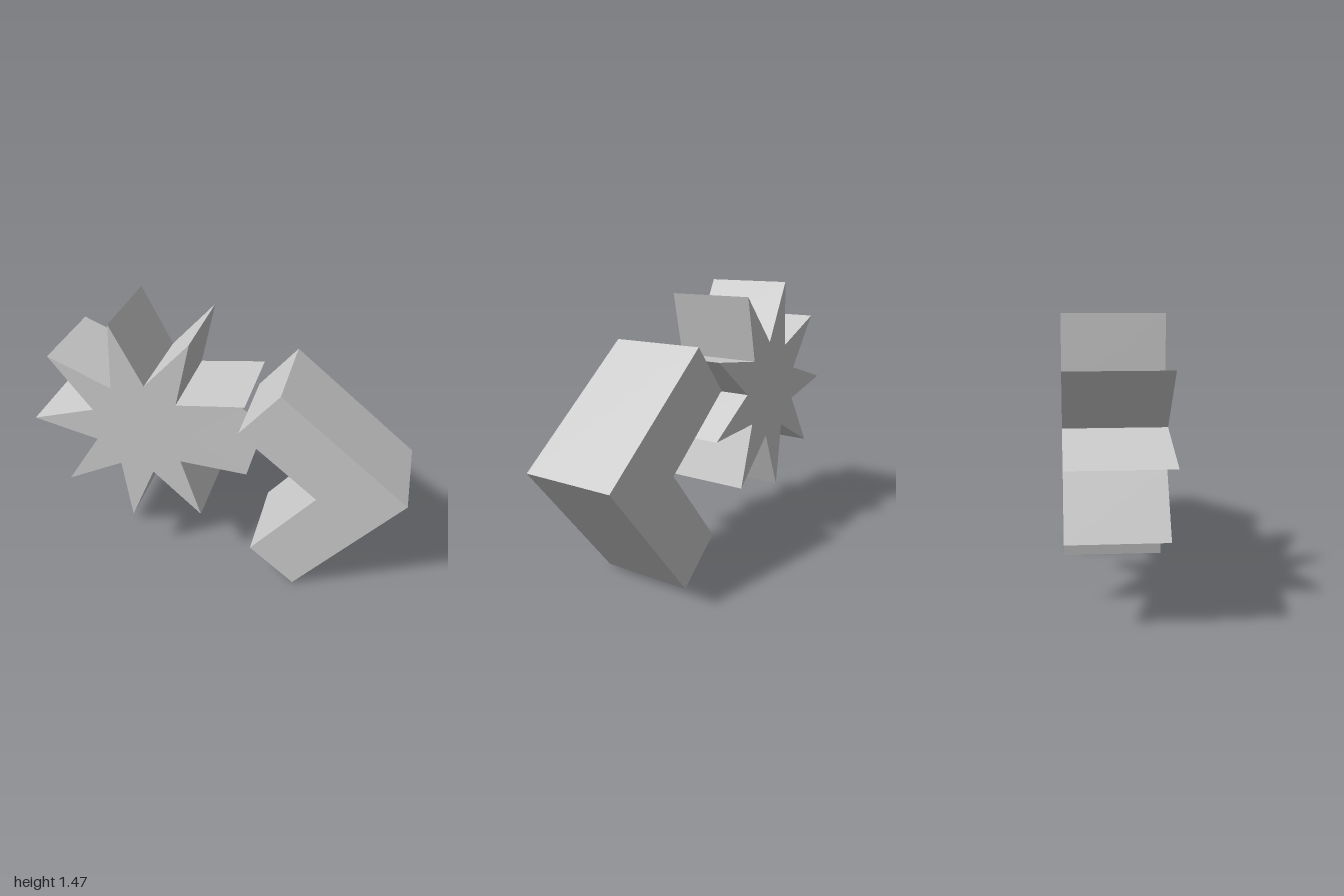
import * as THREE from 'three';

// Flat-sided prism from an outline, running from z = back to z = front
function prism(name, points, back, front) {
  const geometry = new THREE.ExtrudeGeometry(new THREE.Shape(points), {
    depth: front - back,
    bevelEnabled: false,
  });
  geometry.translate(0, 0, back);
  const material = new THREE.MeshStandardMaterial({ color: 0xcccccc, flatShading: true });
  const mesh = new THREE.Mesh(geometry, material);
  mesh.name = name;
  return mesh;
}

// Outline of a regular star, alternating tips and notches
function starOutline(cx, cy, tips, outer, inner, startAngle) {
  const points = [];
  for (let i = 0; i < tips * 2; i++) {
    const a = startAngle + (i * Math.PI) / tips;
    const r = i % 2 === 0 ? outer : inner;
    points.push(new THREE.Vector2(cx + r * Math.cos(a), cy + r * Math.sin(a)));
  }
  return points;
}

export function createModel() {
  const group = new THREE.Group();
  group.name = 'starAndBracket';

  // Nine-pointed star block
  const star = starOutline(-0.4, 0.884, 9, 0.6, 0.27, THREE.MathUtils.degToRad(182.1));
  group.add(prism('star', star, -0.25, 0.23));

  // Right-angled bracket, its corner pointing outwards
  const bracket = [
    [0.453, 0], [1, 0.668], [0.335, 1.21], [0.13, 0.965], [0.545, 0.623], [0.205, 0.207],
  ].map(([x, y]) => new THREE.Vector2(x, y));
  group.add(prism('cornerBracket', bracket, -0.25, 0.25));

  return group;
}
